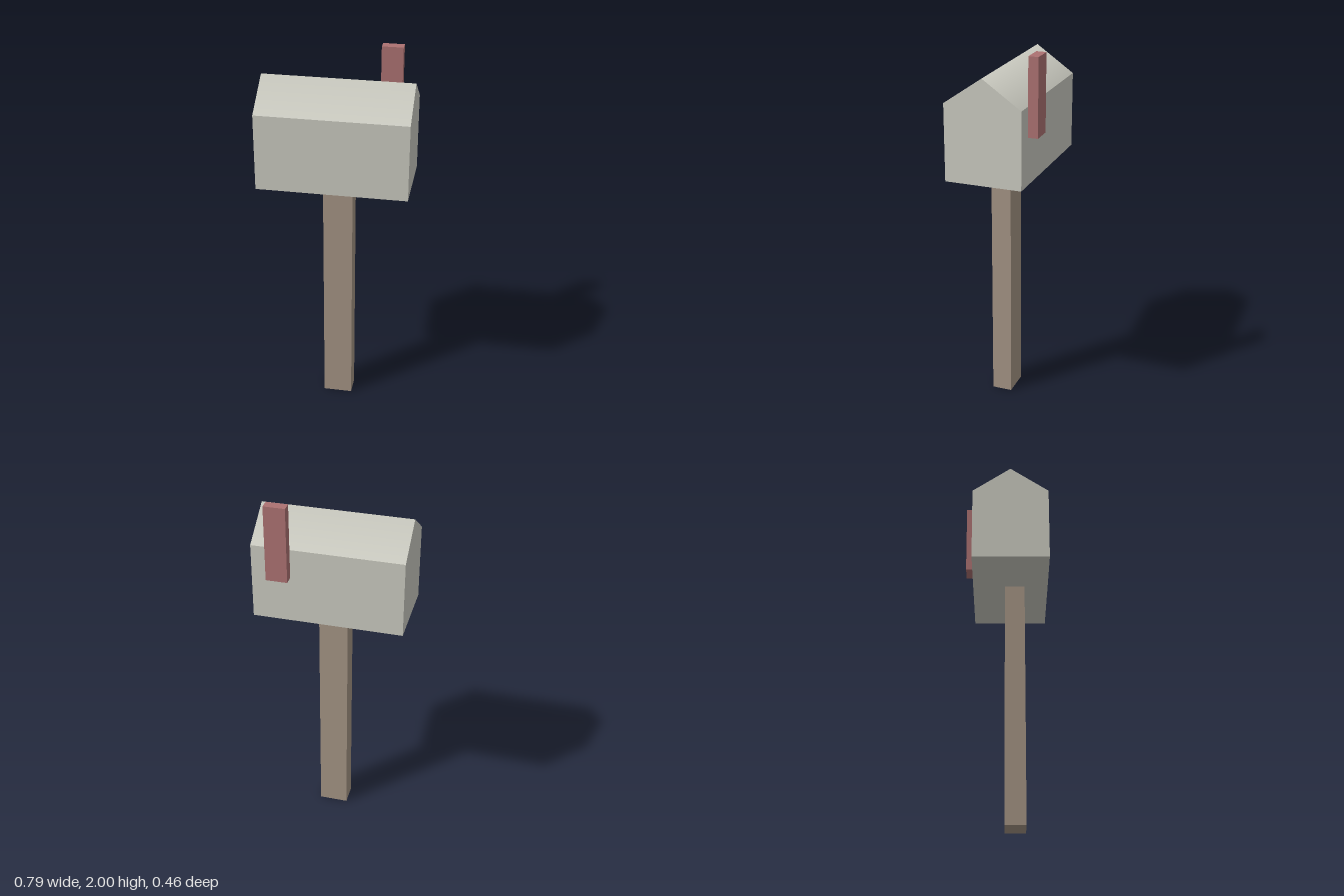
import * as THREE from 'three';

export function createModel() {
  const model = new THREE.Group();

  const add = (name, geometry, color) => {
    const mesh = new THREE.Mesh(geometry, new THREE.MeshStandardMaterial({ color }));
    mesh.name = name;
    model.add(mesh);
  };

  // Box given by its minimum and maximum corners
  const boxBetween = (x0, y0, z0, x1, y1, z1) =>
    new THREE.BoxGeometry(x1 - x0, y1 - y0, z1 - z0)
      .translate((x0 + x1) / 2, (y0 + y1) / 2, (z0 + z1) / 2);

  // Post
  add('post', boxBetween(-0.065, 0, -0.005, 0.091, 1.344, 0.104), 0xa49484);

  // Letter box: gabled section extruded along x
  const length = 0.786, half = 0.205, floor = 1.344, eave = 1.752, ridge = 1.894;
  const section = new THREE.Shape([
    new THREE.Vector2(-half, floor),
    new THREE.Vector2(half, floor),
    new THREE.Vector2(half, eave),
    new THREE.Vector2(0, ridge),
    new THREE.Vector2(-half, eave),
  ]);
  const box = new THREE.ExtrudeGeometry(section, { depth: length, bevelEnabled: false })
    .translate(0, 0, -length / 2)
    .rotateY(Math.PI / 2)
    .translate(0, 0, 0.026);

  // Soften the shading across the roof ridge only
  const { position, normal } = box.attributes;
  for (let i = 0; i < position.count; i++) {
    if (normal.getY(i) > 0.1 && position.getY(i) > ridge - 0.01) normal.setXYZ(i, 0, 1, 0);
  }
  add('letterBox', box, 0xcacac0);

  // Flag on the back wall
  add('flag', boxBetween(0.19, 1.594, -0.231, 0.302, 2, -0.179), 0xac7272);

  return model;
}
